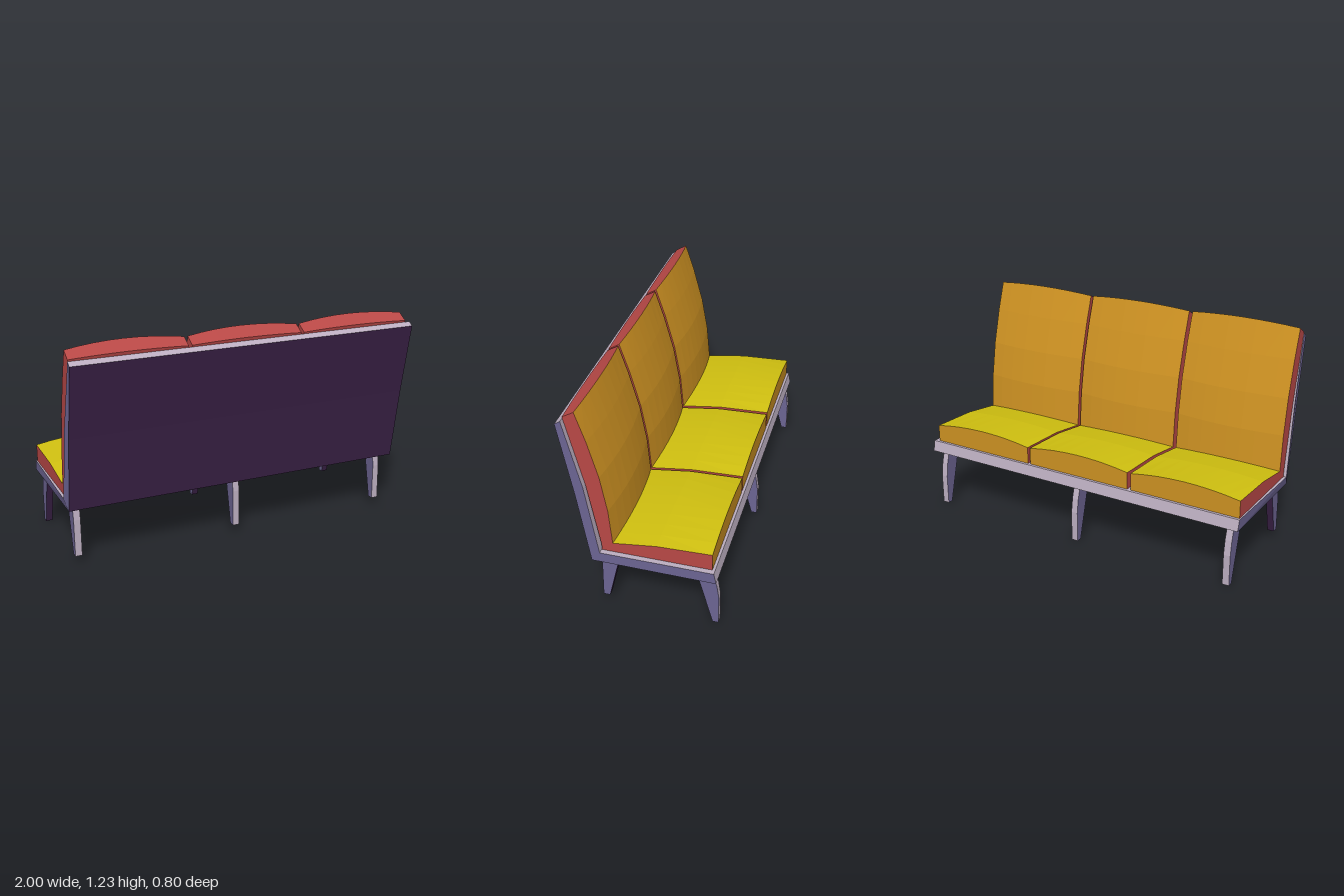
import * as THREE from 'three';

const mat = (name, color) => {
  const m = new THREE.MeshStandardMaterial({ color });
  m.name = name;
  return m;
};

// Lofts a side profile along x. ring(t) gives [x, z, y] points, counter-clockwise in (z, y);
// edgeMats[j] colours the face from point j to j + 1, capMat both ends.
function loft(name, ring, steps, edgeMats, capMat) {
  const rings = [];
  for (let i = 0; i <= steps; i++) rings.push(ring(i / steps).map(([x, z, y]) => [x, y, z]));
  const faces = new Map();
  const add = (m, ...pts) => {
    if (!faces.has(m)) faces.set(m, []);
    pts.forEach((p) => faces.get(m).push(...p));
  };
  const n = rings[0].length;
  for (let i = 0; i < steps; i++) {
    for (let j = 0; j < n; j++) {
      const k = (j + 1) % n;
      const [a, b, c, d] = [rings[i][j], rings[i + 1][j], rings[i + 1][k], rings[i][k]];
      add(edgeMats[j], a, b, c, a, c, d);
    }
  }
  const first = rings[0], last = rings[steps];
  const outline = (r) => r.map((p) => new THREE.Vector2(p[2], p[1]));
  for (const [a, b, c] of THREE.ShapeUtils.triangulateShape(outline(first), [])) {
    add(capMat, first[a], first[b], first[c]);
    add(capMat, last[a], last[c], last[b]);
  }
  const geo = new THREE.BufferGeometry();
  const pos = [], mats = [];
  for (const [m, list] of faces) {
    geo.addGroup(pos.length / 3, list.length / 3, mats.length);
    for (const v of list) pos.push(v);
    mats.push(m);
  }
  geo.setAttribute('position', new THREE.Float32BufferAttribute(pos, 3));
  geo.computeVertexNormals();
  const mesh = new THREE.Mesh(geo, mats);
  mesh.name = name;
  return mesh;
}

export function createModel() {
  const yellow = mat('seatYellow', 0xd0c010);
  const orange = mat('backrestOrange', 0xce9222);
  const red = mat('cushionSideRed', 0xb84846);
  const purple = mat('frameSidePurple', 0x6c6492);
  const mauve = mat('frameEdgeMauve', 0xbcaec0);
  const dark = mat('framePanelDarkPurple', 0x3a2146);

  const model = new THREE.Group();
  model.name = 'bench';

  // L-shaped frame: z, y, x of the right end
  const frame = [
    [-0.397, 0.322, -0.988], [0.262, 0.326, -0.987], [0.328, 0.745, -0.987], [0.403, 1.147, -0.985],
    [0.373, 1.166, -0.985], [0.282, 0.79, -0.994], [0.217, 0.384, -1], [-0.384, 0.384, -0.99],
  ];
  model.add(loft('frame',
    (t) => frame.map(([z, y, x]) => [t ? 1 : x, z, y]), 1,
    [dark, dark, dark, mauve, mauve, mauve, mauve, mauve], purple));

  // Cushions: z, y, then how far the middle bulges in z and y
  const cushion = [
    [-0.37, 0.385, 0, 0], [0.214, 0.385, 0, 0], [0.214, 0.42, 0, 0], [0.279, 0.79, 0, 0],
    [0.373, 1.175, 0, 0.008], [0.313, 1.21, -0.023, 0.02], [0.26, 1.05, -0.025, 0],
    [0.205, 0.847, -0.025, 0], [0.17, 0.645, -0.027, 0], [0.153, 0.44, -0.026, 0.019],
    [-0.08, 0.472, 0, 0.018], [-0.37, 0.482, 0, 0.029],
  ];
  const cushionMats = [
    red, red, red, red, red, orange, orange, orange, orange, yellow, yellow, orange,
  ];
  const spans = [[-0.984, -0.347], [-0.327, 0.308], [0.324, 0.972]];
  spans.forEach(([x0, x1], i) => {
    const ring = (t) => {
      const bulge = 1 - (2 * t - 1) ** 2;
      return cushion.map(([z, y, dz, dy]) =>
        [x0 + (x1 - x0) * t, z + dz * bulge, y + dy * bulge]);
    };
    model.add(loft(['rightCushion', 'middleCushion', 'leftCushion'][i], ring, 8, cushionMats, red));
  });

  // Tapered legs, three per row
  const rearLeg = [[0.195, 0.046], [0.231, 0.046], [0.228, 0.254], [0.218, 0.326], [0.13, 0.326]];
  const frontLeg = [
    [-0.4, 0], [-0.368, 0], [-0.28, 0.324], [-0.368, 0.324], [-0.388, 0.254], [-0.4, 0.173],
  ];
  const rearMats = [mauve, mauve, mauve, dark, dark];
  const frontMats = [mauve, dark, dark, mauve, mauve, mauve];
  for (const x of [-0.937, -0.006, 0.926]) {
    const place = (profile) => (t) => profile.map(([z, y]) => [x + (t - 0.5) * 0.038, z, y]);
    model.add(loft('rearLeg', place(rearLeg), 1, rearMats, purple));
    model.add(loft('frontLeg', place(frontLeg), 1, frontMats, purple));
  }
  return model;
}
